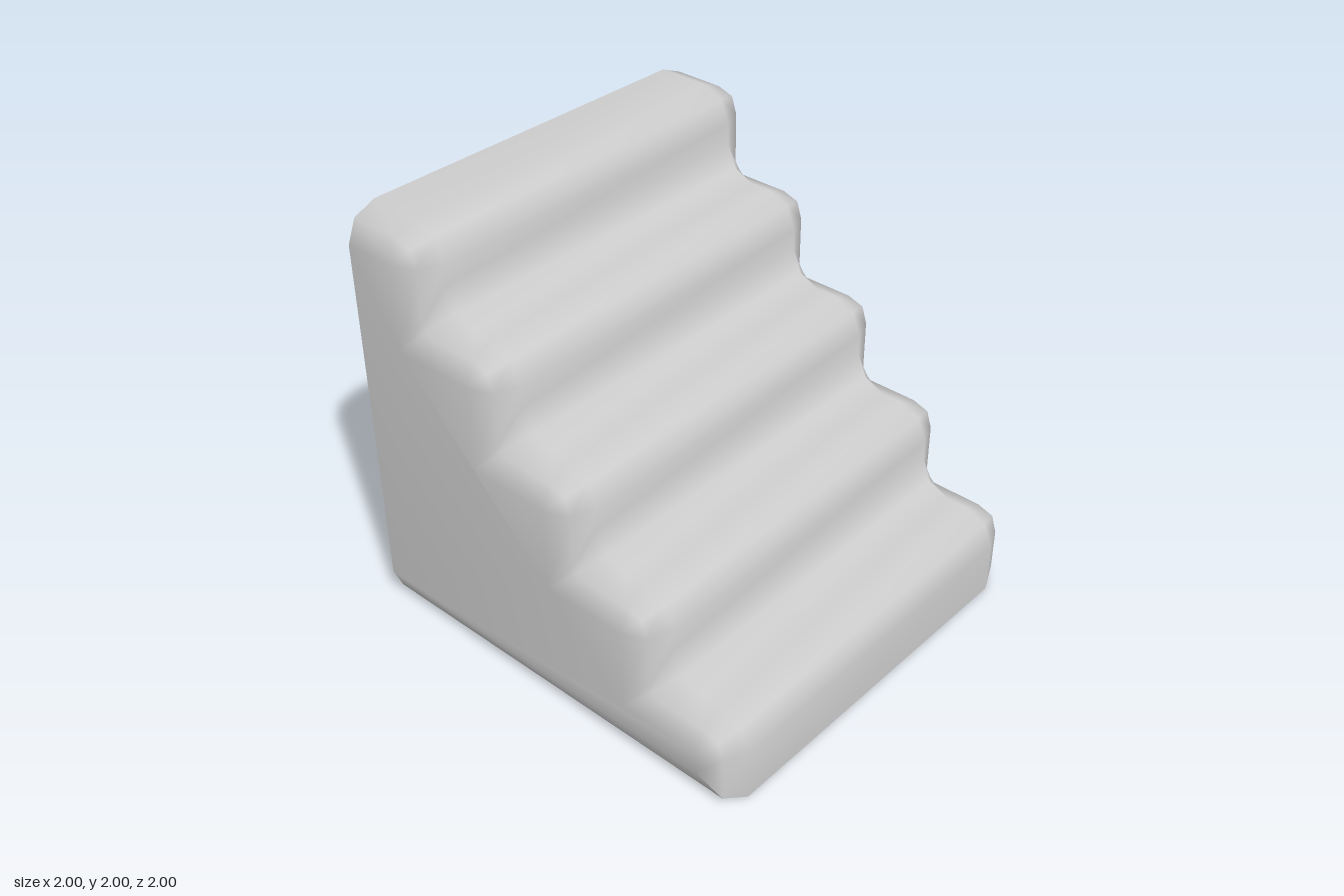
import * as THREE from 'three';

const STEPS = 5, RISE = 0.4, R = 0.15, M = 0.044; // bevel radius and its midpoint inset
const COLS = [[-1, 2], [-0.956, 1], [-0.85, 0], [0.85, 0], [0.956, 1], [1, 2]]; // x, ring

// Each row holds [z, y] for the centre, the bevel middle and the side face.
function stairRows() {
  const rows = [[[1, 0], [1 - M, M], [1 - R, R]]];
  for (let i = 0; i < STEPS; i++) {
    const z = 1 - RISE * i, y = RISE * (i + 1), side = [z - R, y - R];
    // rounded nose
    rows.push([[z, y - R], [z - M, y - R], side]);
    rows.push([[z - M, y - M], [z - 0.07, y - 0.07], side]);
    rows.push([[z - R, y], [z - R, y - M], side]);
    if (i === STEPS - 1) break;
    // fillet up to the next riser
    const iz = z - RISE, inner = [iz - R, y - R];
    rows.push([[iz + R, y], [iz, y - M], inner]);
    rows.push([[iz + M, y + M], [iz - 0.022, y - 0.022], inner]);
    rows.push([[iz, y + R], [iz - M, y], inner]);
  }
  rows.push([[-1, 2], [-1, 2 - M], [-1, 2 - R]]);
  return rows;
}

function stairGeometry() {
  const positions = [], index = [], seen = new Map();
  // Shares vertices within a smoothing group
  const vert = (x, y, z, group) => {
    const key = [x, y, z].map((v) => Math.round(v * 1000)).join() + group;
    if (!seen.has(key)) {
      seen.set(key, positions.length / 3);
      positions.push(x, y, z);
    }
    return seen.get(key);
  };
  const tri = (a, b, c) => {
    if (a !== b && b !== c && a !== c) index.push(a, b, c);
  };
  const strip = (rows, group) => {
    const ids = rows.map((row) => COLS.map(([x, k]) =>
      vert(x, row[k][1], row[k][0], k === 2 ? 'shell' : group)));
    for (let r = 0; r + 1 < ids.length; r++) {
      for (let c = 0; c < 5; c++) {
        const a = ids[r][c], b = ids[r][c + 1], d = ids[r + 1][c], e = ids[r + 1][c + 1];
        if (c < 3) { tri(a, b, e); tri(a, e, d); }
        else { tri(a, b, d); tri(b, e, d); }
      }
    }
  };

  // Treads and risers with side bevels, then the underside
  const rows = stairRows();
  const backBottom = [[-1, 0], [-1, M], [-1, R]];
  strip(rows, 'shell');
  strip([backBottom, rows[0]], 'under');

  // Flat side faces
  const outline = [...rows, backBottom].map((row) => row[2])
    .filter((p, i, all) => i === 0 || p !== all[i - 1])
    .map(([z, y]) => new THREE.Vector2(z, y));
  for (const [a, b, c] of THREE.ShapeUtils.triangulateShape(outline, [])) {
    for (const x of [1, -1]) {
      const [i, j, k] = [a, b, c].map((n) => vert(x, outline[n].y, outline[n].x, 'shell'));
      if (x > 0) tri(i, k, j); else tri(i, j, k);
    }
  }

  // Flat back face
  const top = rows[rows.length - 1];
  const ring = [
    ...COLS.map(([x, k]) => vert(x, backBottom[k][1], -1, 'back')),
    ...[...COLS].reverse().map(([x, k]) => vert(x, top[k][1], -1, 'back')),
  ];
  for (let i = 1; i + 1 < ring.length; i++) tri(ring[0], ring[i + 1], ring[i]);

  const geometry = new THREE.BufferGeometry();
  geometry.setAttribute('position', new THREE.Float32BufferAttribute(positions, 3));
  geometry.setIndex(index);
  geometry.computeVertexNormals();
  return geometry;
}

export function createModel() {
  const group = new THREE.Group();
  group.name = 'staircase';
  const steps = new THREE.Mesh(stairGeometry(), new THREE.MeshStandardMaterial({ color: 0xcccccc }));
  steps.name = 'roundedSteps';
  group.add(steps);
  return group;
}
